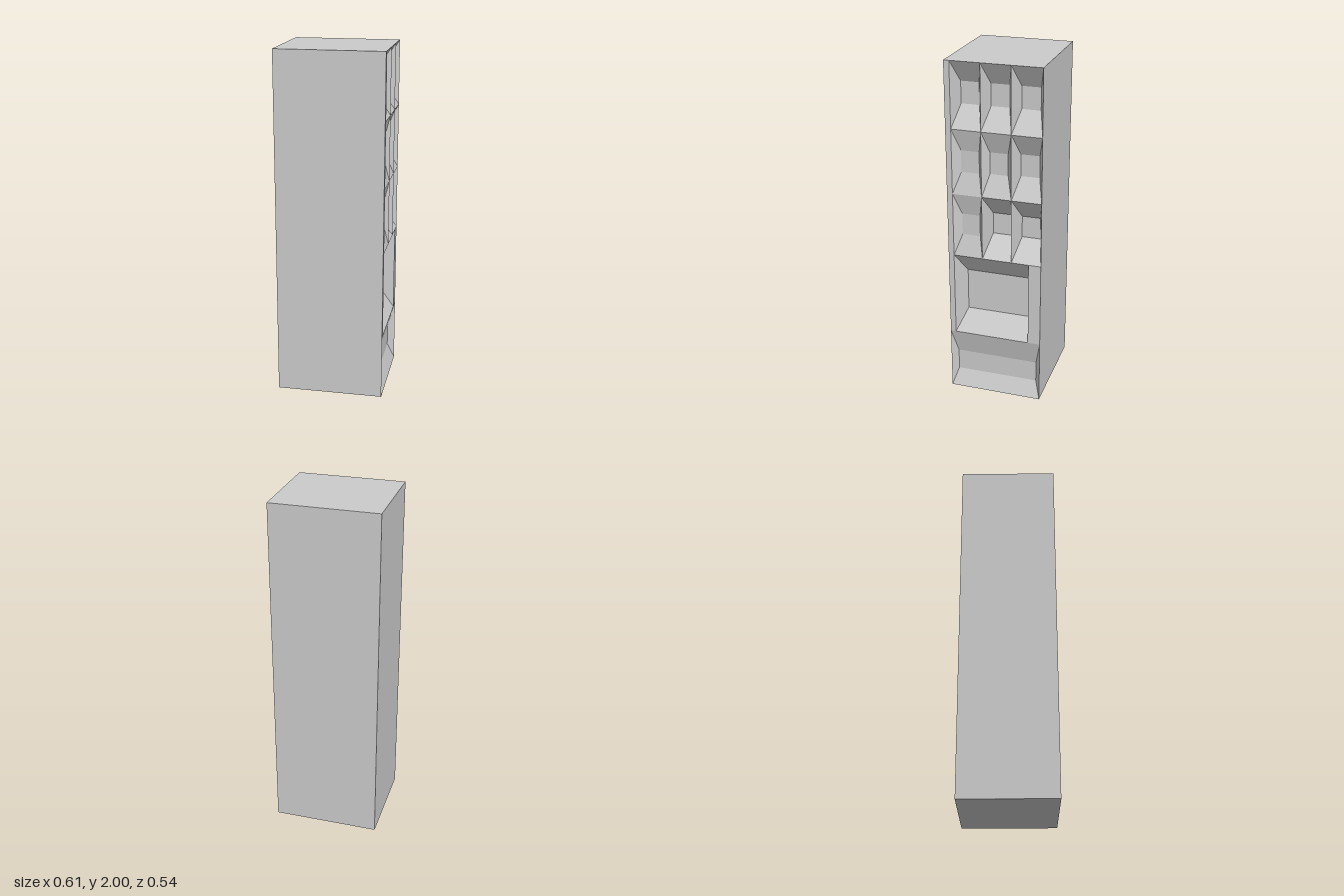
import * as THREE from 'three';

const X = 0.307, Z = 0.272, H = 2;

// Flat-shaded mesh from polygons of [x, y, z] corners, counter-clockwise from outside
function polyMesh(name, polys, material) {
  const pos = [];
  for (const p of polys)
    for (let i = 1; i < p.length - 1; i++) pos.push(...p[0], ...p[i], ...p[i + 1]);
  const geo = new THREE.BufferGeometry();
  geo.setAttribute('position', new THREE.Float32BufferAttribute(pos, 3));
  geo.computeVertexNormals();
  const mesh = new THREE.Mesh(geo, material);
  mesh.name = name;
  return mesh;
}

// Point on the carved side: z, y and depth below the surface
const at = (z, y, depth = 0) => [X - depth, y, z];

// Recess: z = outer sides, end = floor sides at top and bottom, mid = floor sides at full depth
function recess({ z, y, end, mid, floor, depth }) {
  const [zl, zr] = z, [y0, y1] = y, [el, er] = end, [ml, mr] = mid, [f0, f1] = floor;
  const lt = at(ml, f1, depth), lb = at(ml, f0, depth);
  const rt = at(mr, f1, depth), rb = at(mr, f0, depth);
  return [
    [lt, lb, rb, rt],                                   // floor
    [at(el, y1), lt, rt, at(er, y1)],                   // upper slope
    [lb, at(el, y0), at(er, y0), rb],                   // lower slope
    [at(zl, y1), at(zl, y0), lb, lt],                   // left wall
    [at(zl, y1), lt, at(el, y1)],
    [at(zl, y0), at(el, y0), lb],
    [rt, rb, at(zr, y0), at(zr, y1)],                   // right wall
    [at(er, y1), rt, at(zr, y1)],
    [rb, at(er, y0), at(zr, y0)],
  ];
}

const flat = (zl, zr, y0, y1) => [at(zl, y1), at(zl, y0), at(zr, y0), at(zr, y1)];

export function createModel() {
  const group = new THREE.Group();
  const material = new THREE.MeshStandardMaterial({ color: 0xcccccc, flatShading: true });
  const add = (name, polys) => group.add(polyMesh(name, polys, material));

  // Plain block, open on the carved side
  const c = (sx, y, sz) => [sx * X, y, sz * Z];
  add('block', [
    [c(-1, 0, 1), c(1, 0, 1), c(1, H, 1), c(-1, H, 1)],
    [c(1, 0, -1), c(-1, 0, -1), c(-1, H, -1), c(1, H, -1)],
    [c(-1, 0, -1), c(-1, 0, 1), c(-1, H, 1), c(-1, H, -1)],
    [c(-1, H, 1), c(1, H, 1), c(1, H, -1), c(-1, H, -1)],
    [c(-1, 0, -1), c(1, 0, -1), c(1, 0, 1), c(-1, 0, 1)],
  ]);

  // Flat margins beside the recesses
  add('margins', [flat(Z, 0.24, 0.375, H), flat(-0.2, -Z, 0.375, 0.875)]);

  // Shallow recess across the base
  add('baseRecess', recess({
    z: [Z, -Z], y: [0, 0.375], end: [0.24, -0.24], mid: [0.24, -0.24],
    floor: [0.1, 0.225], depth: 0.04,
  }));

  // Large recess
  add('largeRecess', recess({
    z: [0.24, -0.2], y: [0.375, 0.875], end: [0.204, -0.167], mid: [0.188, -0.188],
    floor: [0.5, 0.75], depth: 0.085,
  }));

  // Three by three small recesses, bottom row first, with varying depth
  const depths = [[0.03, 0.095, 0.095], [0.03, 0.045, 0.065], [0.075, 0.075, 0.075]];
  const columns = [0.24, 0.07, -0.1, -Z];
  depths.forEach((row, r) => row.forEach((depth, k) => {
    const y0 = 0.875 + r * 0.375, zl = columns[k], zr = columns[k + 1];
    const shift = k === 0 && r < 2 ? 0.01 : 0;
    add(`smallRecess${r + 1}_${k + 1}`, recess({
      z: [zl, zr], y: [y0, y0 + 0.375],
      end: [zl - 0.035, zr + 0.031], mid: [zl - 0.035 - shift, zr + 0.031 - shift],
      floor: [y0 + 0.125, y0 + 0.25], depth,
    }));
  }));

  return group;
}
